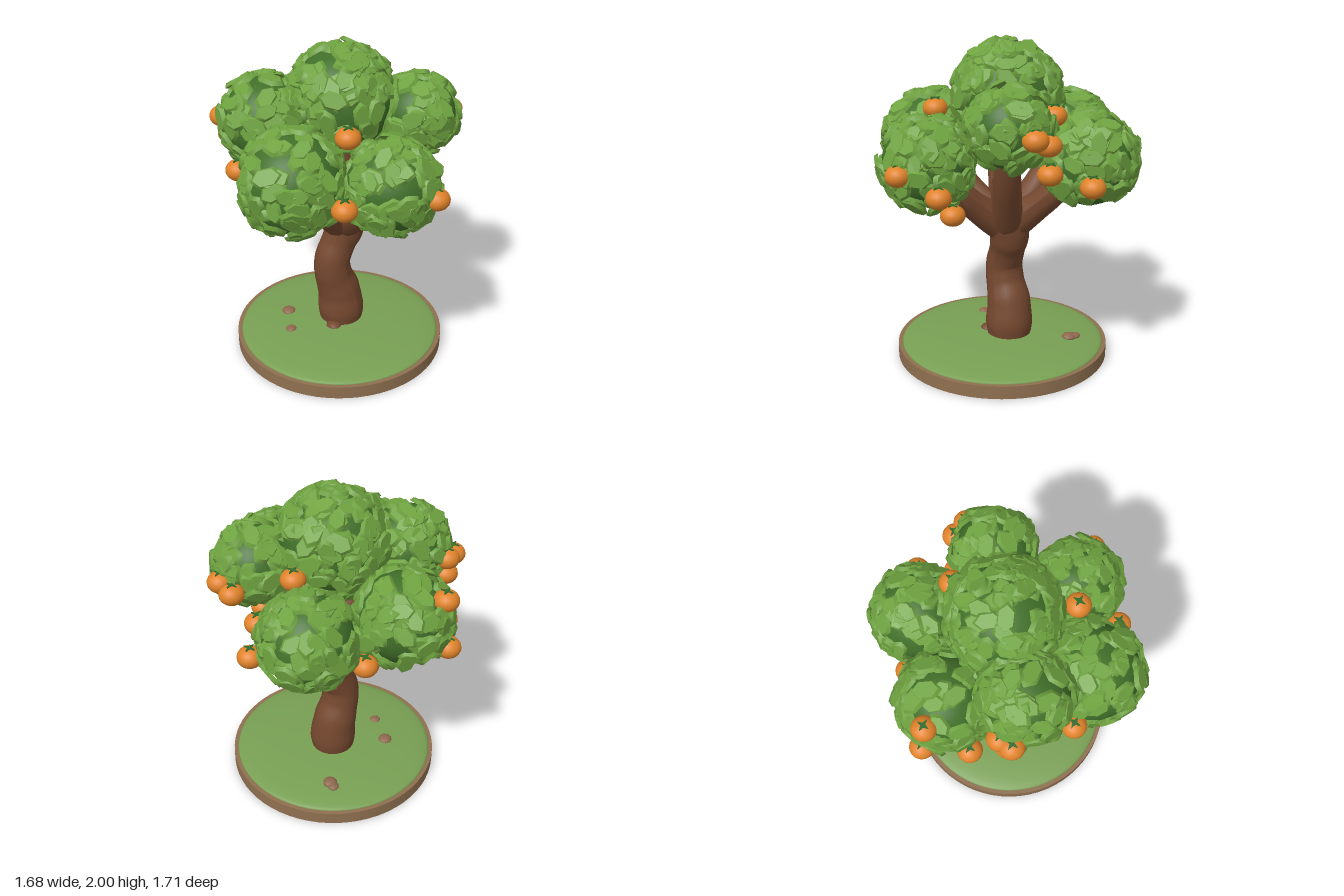
import * as THREE from 'three';
import { mergeGeometries } from 'three/addons/utils/BufferGeometryUtils.js';

const mat = (name, color) => Object.assign(new THREE.MeshStandardMaterial({ color }), { name });
const V = (x, y, z) => new THREE.Vector3(x, y, z);

function randomizer(seed) {
  return () => {
    seed = (seed * 1664525 + 1013904223) % 4294967296;
    return seed / 4294967296;
  };
}

// Tube whose radius follows a list of values, one for each path point
function taperedTube(points, radii, steps, sides) {
  const curve = new THREE.CatmullRomCurve3(points);
  curve.getPointAt = curve.getPoint;
  const geo = new THREE.TubeGeometry(curve, steps, 1, sides, false);
  const pos = geo.attributes.position;
  const p = V(0, 0, 0);
  for (let i = 0; i <= steps; i++) {
    const c = curve.getPoint(i / steps);
    const f = (i / steps) * (radii.length - 1);
    const k = Math.min(Math.floor(f), radii.length - 2);
    const r = THREE.MathUtils.lerp(radii[k], radii[k + 1], THREE.MathUtils.smoothstep(f - k, 0, 1));
    for (let j = 0; j <= sides; j++) {
      const n = i * (sides + 1) + j;
      p.fromBufferAttribute(pos, n).sub(c).multiplyScalar(r).add(c);
      pos.setXYZ(n, p.x, p.y, p.z);
    }
  }
  geo.computeVertexNormals();
  return geo;
}

export function createModel() {
  const model = new THREE.Group();
  const bark = mat('bark', 0x75482f);
  const soil = mat('soil', 0x8f7050);
  const grass = mat('grass', 0x789f53);
  const foliage = mat('foliage', 0x41702a);
  const leaf = mat('leaf', 0x6fa340);
  const orange = mat('orange', 0xe0832a);
  const calyx = mat('calyx', 0x2f6b2c);
  const stone = mat('stone', 0x8f684e);

  const add = (name, geo, material, parent = model) => {
    const mesh = new THREE.Mesh(geo, material);
    mesh.name = name;
    parent.add(mesh);
    return mesh;
  };

  // Round base with a low grass dome
  add('base', new THREE.CylinderGeometry(0.66, 0.66, 0.08, 64), soil).position.y = 0.04;
  const dome = add('grass', new THREE.SphereGeometry(1, 64, 12, 0, Math.PI * 2, 0, Math.PI / 2), grass);
  dome.scale.set(0.635, 0.052, 0.635);
  dome.position.y = 0.079;

  // Pebbles: x, z, size
  [[0.38, -0.2, 0.045], [0.4, -0.235, 0.035], [-0.29, -0.16, 0.035], [-0.15, -0.31, 0.045]].forEach(([x, z, s]) => {
    const p = add('pebble', new THREE.SphereGeometry(s, 10, 8), stone);
    p.scale.y = 0.5;
    p.position.set(x, 0.122, z);
  });

  // Winding trunk, flaring into a flat crown where the branches begin
  add('trunk', taperedTube(
    [V(0.04, 0.1, -0.02), V(0.04, 0.2, -0.02), V(0.03, 0.33, -0.03), V(-0.01, 0.46, -0.042), V(-0.018, 0.57, -0.042),
      V(0.02, 0.68, -0.025), V(0.055, 0.79, -0.002), V(0.03, 0.9, 0), V(0.02, 0.98, 0)],
    [0.135, 0.147, 0.136, 0.12, 0.114, 0.11, 0.122, 0.155, 0.172], 48, 20), bark);
  add('trunkTop', new THREE.CircleGeometry(0.172, 20).rotateX(-Math.PI / 2), bark).position.set(0.02, 0.978, 0);
  const root = add('root', new THREE.SphereGeometry(0.05, 10, 8), bark);
  root.scale.y = 0.6;
  root.position.set(-0.09, 0.125, 0.03);

  // Leaf balls: x, y, z, radius
  const balls = [
    [0.03, 1.645, -0.01, 0.305], [-0.5, 1.33, 0.08, 0.285], [-0.15, 1.31, 0.5, 0.255],
    [0.32, 1.55, 0.33, 0.222], [0.53, 1.31, -0.15, 0.262], [0.1, 1.34, -0.51, 0.262],
    [-0.3, 1.54, -0.31, 0.25],
  ];

  // One branch to each ball
  balls.forEach(([x, y, z], i) => {
    const end = V(x, y, z);
    const start = V(0.03 + x * 0.1, 0.87, z * 0.1);
    const mid = V(0.03 + (x - 0.03) * 0.5, i === 0 ? 1.2 : 1.04 + (y - 1.3) * 0.3, z * 0.5);
    add('branch', taperedTube([start, mid, end], [0.105, 0.085, 0.05], 14, 12), bark);
  });

  // Long six-sided leaf plate with bevelled sides
  const leafGeo = new THREE.CylinderGeometry(0.8, 1, 0.022, 6).scale(0.054, 1, 0.083);
  const rand = randomizer(77);
  const up = V(0, 1, 0);
  balls.forEach(([x, y, z, r], b) => {
    const cluster = new THREE.Group();
    cluster.name = 'leafCluster';
    cluster.position.set(x, y, z);
    model.add(cluster);
    add('leafBall', new THREE.SphereGeometry(r, 32, 20), foliage, cluster);
    const count = Math.round(2300 * r * r);
    const leaves = [];
    for (let i = 0; i < count; i++) {
      // Scatter outward directions, thinner underneath
      const ny = 1 - 1.85 * rand();
      const a = rand() * Math.PI * 2;
      const h = Math.sqrt(1 - ny * ny);
      const n = V(h * Math.cos(a), ny, h * Math.sin(a));
      const p = n.clone().multiplyScalar(r + 0.002 + rand() * 0.026);
      const hidden = balls.some(([bx, by, bz, br], k) =>
        k !== b && p.clone().add(cluster.position).distanceTo(V(bx, by, bz)) < br - 0.03);
      const turn = rand() * Math.PI * 2, tilt = (rand() - 0.5) * 0.55, size = 0.85 + rand() * 0.3;
      if (hidden) continue;
      const q = new THREE.Quaternion().setFromUnitVectors(up, n)
        .multiply(new THREE.Quaternion().setFromAxisAngle(up, turn))
        .multiply(new THREE.Quaternion().setFromAxisAngle(V(1, 0, 0), tilt));
      leaves.push(leafGeo.clone().applyMatrix4(new THREE.Matrix4().compose(p, q, V(size, size, size))));
    }
    add('leaves', mergeGeometries(leaves), leaf, cluster);
  });

  // Fruit with a four-pointed calyx
  const star = new THREE.Shape();
  for (let i = 0; i < 8; i++) {
    const r = i % 2 ? 0.014 : 0.038, a = (i * Math.PI) / 4;
    star[i ? 'lineTo' : 'moveTo'](r * Math.cos(a), r * Math.sin(a));
  }
  const starGeo = new THREE.ExtrudeGeometry(star, { depth: 0.008, bevelEnabled: false }).rotateX(-Math.PI / 2);
  const fruitGeo = new THREE.SphereGeometry(0.074, 20, 14).scale(1, 0.84, 1);
  [
    [-0.48, 1.27, 0.44], [-0.1, 1.3, 0.775], [0.09, 1.18, 0.655], [0.04, 1.03, 0.49],
    [0.51, 1.29, 0.2], [0.56, 1.53, 0.4], [0.58, 1.49, 0.31], [0.73, 1.235, 0.1],
    [0.4, 1.58, 0.02], [-0.27, 1.58, 0.29], [0.42, 1.18, -0.45], [0.33, 1.11, -0.41],
    [0.065, 1.51, -0.75], [0.08, 1.22, -0.79], [-0.16, 1.22, -0.66], [-0.31, 1.53, -0.58],
    [-0.39, 1.52, -0.58], [-0.35, 1.4, -0.56], [-0.59, 1.34, -0.25],
  ].forEach(([x, y, z]) => {
    const fruit = new THREE.Group();
    fruit.name = 'fruit';
    fruit.position.set(x, y, z);
    add('fruitBody', fruitGeo, orange, fruit);
    add('calyx', starGeo, calyx, fruit).position.y = 0.056;
    model.add(fruit);
  });

  return model;
}
